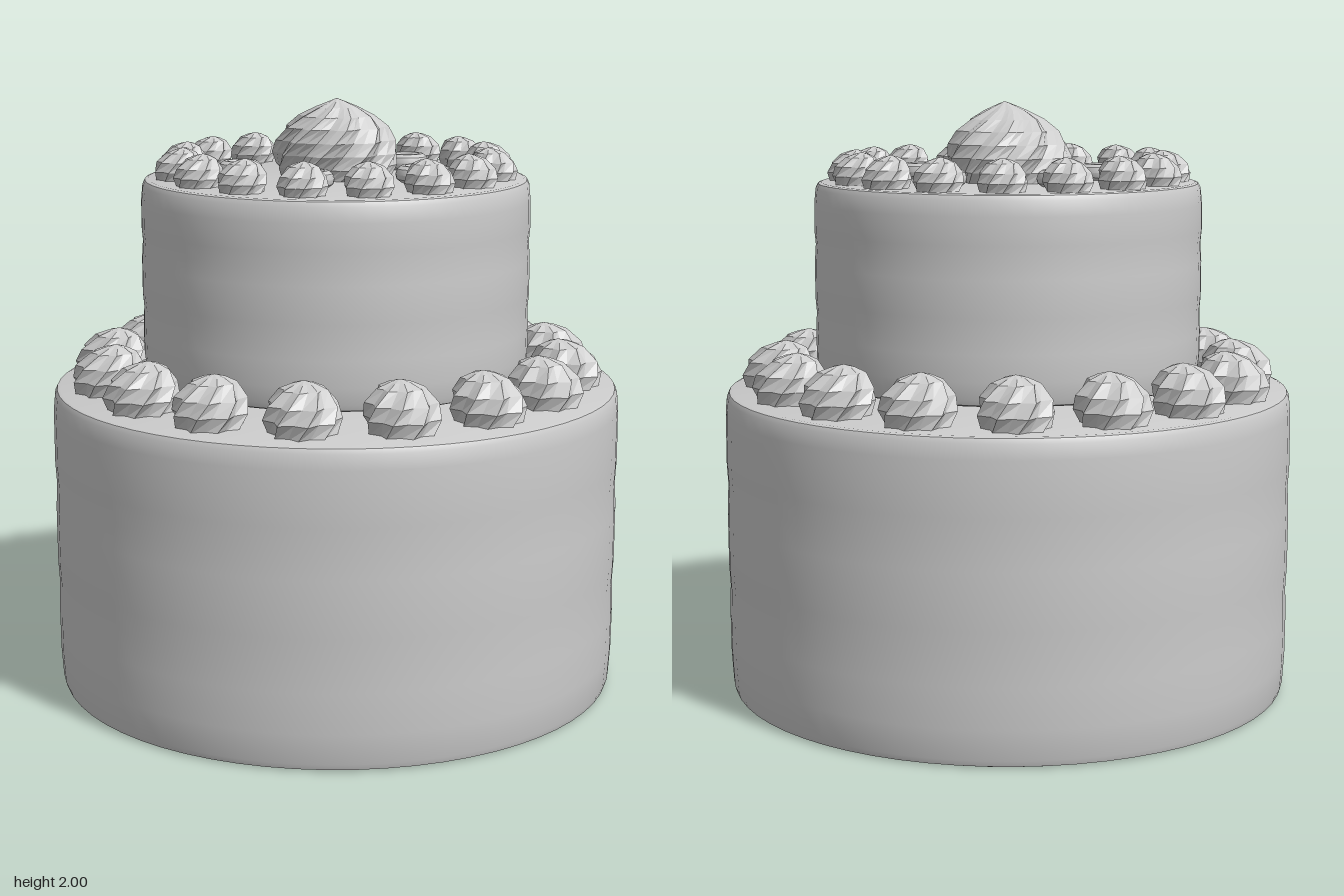
import * as THREE from 'three';
import { toCreasedNormals } from 'three/addons/utils/BufferGeometryUtils.js';

const material = new THREE.MeshStandardMaterial({ color: 0xcccccc });
const creamMaterial = new THREE.MeshStandardMaterial({ color: 0xcccccc, flatShading: true });

function lathe(points, segments) {
  const profile = points.map(([r, y]) => new THREE.Vector2(r, y));
  return toCreasedNormals(new THREE.LatheGeometry(profile, segments), 0.6);
}

// Cake tier: closed drum with soft rims and two faint layer grooves
function tier(name, radius, y0, y1) {
  const h = y1 - y0;
  const points = [
    [0, y0], [radius - 0.03, y0], [radius - 0.014, y0 + 0.006], [radius - 0.008, y0 + 0.025],
    [radius - 0.002, y0 + 0.12 * h], [radius - 0.001, y0 + 0.25 * h],
    [radius - 0.004, y0 + 0.35 * h], [radius, y0 + 0.42 * h], [radius, y0 + 0.6 * h],
    [radius - 0.004, y0 + 0.69 * h], [radius, y0 + 0.76 * h], [radius - 0.001, y1 - 0.07],
    [radius - 0.006, y1 - 0.02], [radius - 0.014, y1 - 0.004], [radius - 0.025, y1], [0, y1],
  ];
  const mesh = new THREE.Mesh(lathe(points, 64), material);
  mesh.name = name;
  return mesh;
}

// Piped cream: fluted rings that twist as they rise and lean towards +z at the tip
function swirl({ radius, height, lobes, perLobe, depth, twist, lean, profile }) {
  const segments = lobes * perLobe;
  const positions = [], index = [];
  profile.forEach(([r, t]) => {
    for (let j = 0; j < segments; j++) {
      const a = (j / segments) * Math.PI * 2;
      const flute = 1 - depth * (0.5 - 0.5 * Math.cos(a * lobes));
      const angle = a + twist * t;
      positions.push(
        Math.sin(angle) * r * radius * flute,
        t * height,
        Math.cos(angle) * r * radius * flute + lean * t * t,
      );
    }
  });
  for (let i = 0; i < profile.length - 1; i++) {
    for (let j = 0; j < segments; j++) {
      const k = (j + 1) % segments;
      const a = i * segments + j, b = i * segments + k;
      index.push(a, b, b + segments, a, b + segments, a + segments);
    }
  }
  const geometry = new THREE.BufferGeometry();
  geometry.setAttribute('position', new THREE.Float32BufferAttribute(positions, 3));
  geometry.setIndex(index);
  geometry.computeVertexNormals();
  return geometry;
}

// Places count copies around a circle, each facing the centre
function ring(name, geometry, mat, count, radius, y, startDegrees) {
  const group = new THREE.Group();
  group.name = name + 'Ring';
  for (let i = 0; i < count; i++) {
    const a = THREE.MathUtils.degToRad(startDegrees) + (i / count) * Math.PI * 2;
    const mesh = new THREE.Mesh(geometry, mat);
    mesh.name = name;
    mesh.position.set(Math.sin(a) * radius, y, -Math.cos(a) * radius - 0.012);
    mesh.rotation.y = -a;
    group.add(mesh);
  }
  return group;
}

export function createModel() {
  const cake = new THREE.Group();
  cake.name = 'tieredCake';

  // Tiers
  cake.add(tier('lowerTier', 0.965, 0, 1.035));
  cake.add(tier('upperTier', 0.655, 1.068, 1.735));

  // Cream dollops around both tiers
  const dollopProfile = [[0, 0], [0.86, 0], [1, 0.3], [0.93, 0.58], [0.62, 0.85], [0.3, 0.95], [0, 1]];
  const dollop = (radius, height) => swirl({
    radius, height, lobes: 8, perLobe: 2, depth: 0.2, twist: 0.9, lean: radius * 0.25, profile: dollopProfile,
  });
  cake.add(ring('lowerDollop', dollop(0.125, 0.165), creamMaterial, 16, 0.79, 1.03, 11.25));
  cake.add(ring('upperDollop', dollop(0.082, 0.11), creamMaterial, 16, 0.535, 1.73, 15));

  // Large centre swirl
  const centre = new THREE.Mesh(swirl({
    radius: 0.215, height: 0.27, lobes: 9, perLobe: 4, depth: 0.15, twist: 1.3, lean: 0.07,
    profile: [[0, 0], [0.86, 0], [0.97, 0.15], [1, 0.32], [0.95, 0.48], [0.82, 0.64], [0.6, 0.78], [0.34, 0.89], [0.13, 0.96], [0, 1]],
  }), creamMaterial);
  centre.name = 'centreSwirl';
  centre.position.set(0, 1.73, -0.02);
  cake.add(centre);

  // Round sweets with a dished top
  const sweet = lathe([
    [0, 0], [0.055, 0], [0.071, 0.012], [0.075, 0.028], [0.069, 0.046], [0.055, 0.056],
    [0.043, 0.056], [0.036, 0.049], [0, 0.046],
  ], 24);
  cake.add(ring('sweet', sweet, material, 5, 0.32, 1.733, -18));
  return cake;
}
